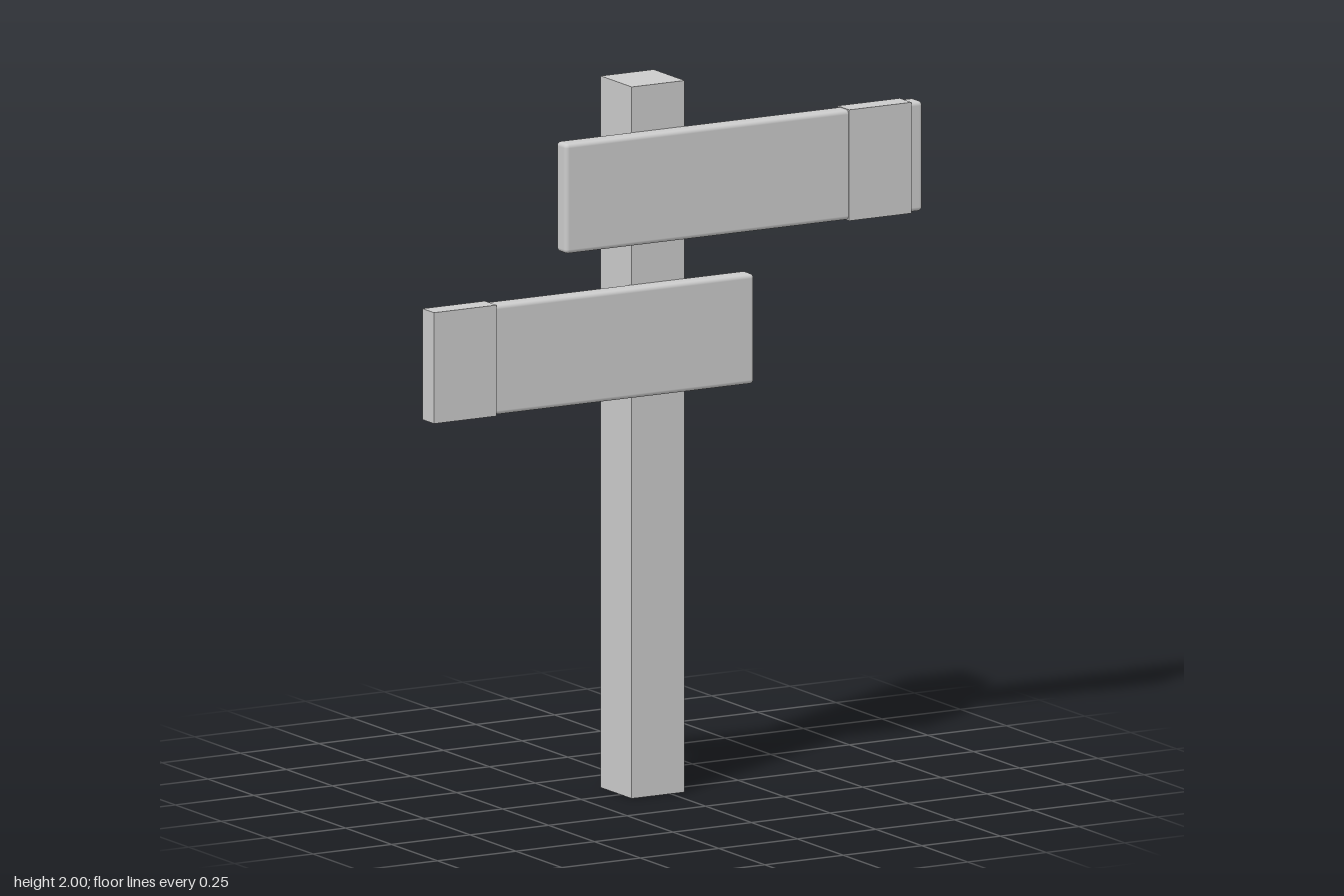
import * as THREE from 'three';
import { RoundedBoxGeometry } from 'three/addons/geometries/RoundedBoxGeometry.js';

export function createModel() {
  const model = new THREE.Group();
  model.name = 'signpost';
  const material = new THREE.MeshStandardMaterial({ color: 0xcccccc });

  function add(parent, name, geometry, x, y, z) {
    const mesh = new THREE.Mesh(geometry, material);
    mesh.name = name;
    mesh.position.set(x, y, z);
    parent.add(mesh);
  }

  // Square upright post
  add(model, 'post', new THREE.BoxGeometry(0.169, 2, 0.169), -0.04, 1, -0.024);

  // Board with soft edges and a slightly thicker square-edged sleeve near one end
  function addBoard(name, y, x0, x1, sleeve0, sleeve1) {
    const board = new THREE.Group();
    board.name = name;
    board.position.set(0, y, 0.077);
    add(board, 'plank', new RoundedBoxGeometry(x1 - x0, 0.309, 0.055, 3, 0.012), (x0 + x1) / 2, 0, 0);
    add(board, 'endSleeve', new THREE.BoxGeometry(sleeve1 - sleeve0, 0.312, 0.063), (sleeve0 + sleeve1) / 2, 0, 0);
    model.add(board);
  }
  addBoard('upperBoard', 1.717, -0.36, 0.778, 0.54, 0.738);
  addBoard('lowerBoard', 1.289, -0.77, 0.242, -0.782, -0.583);

  return model;
}
